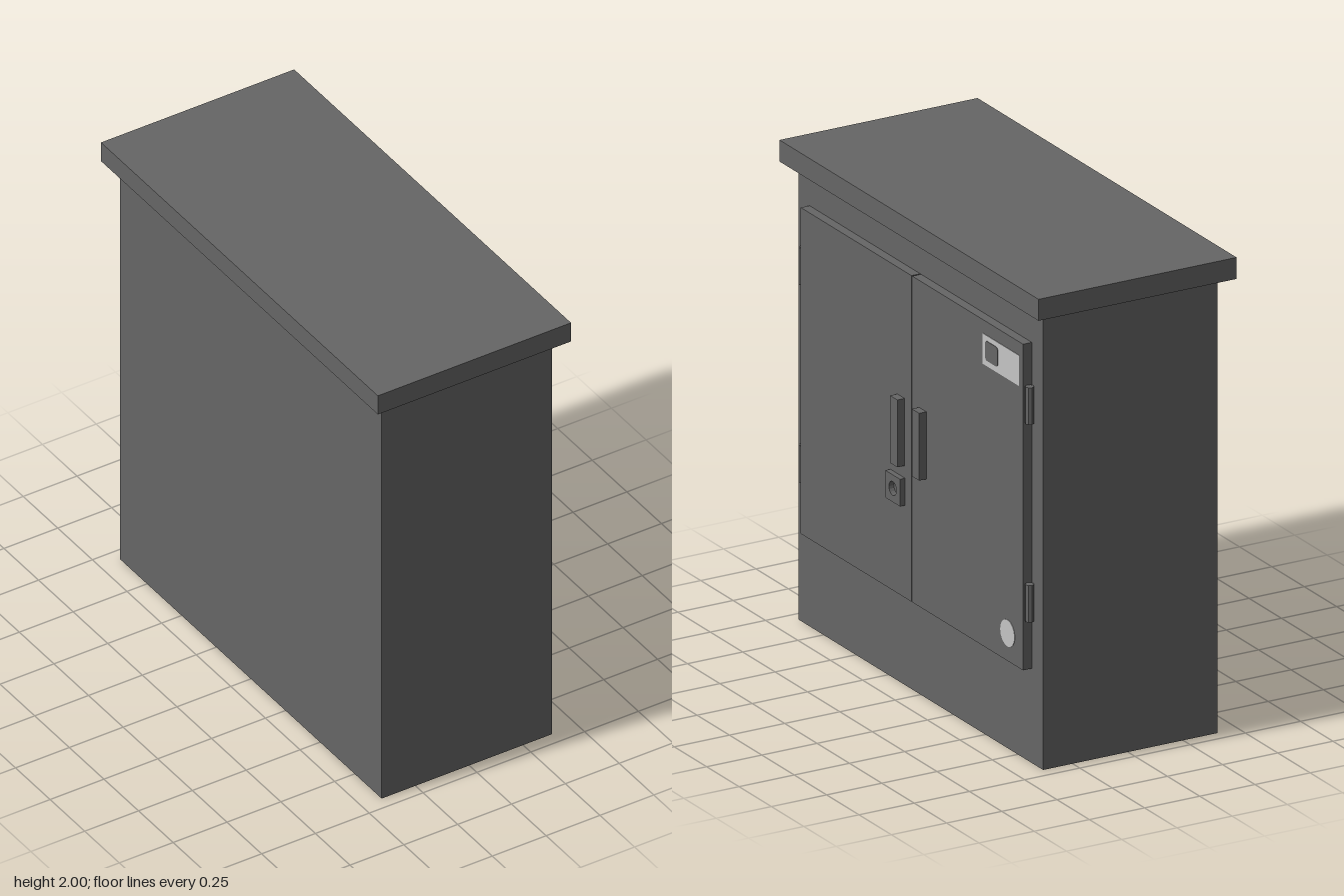
import * as THREE from 'three';

export function createModel() {
  const group = new THREE.Group();
  const grey = new THREE.MeshStandardMaterial({ color: 0x666666 });
  grey.name = 'grey metal';
  const pale = new THREE.MeshStandardMaterial({ color: 0xc4c4c4 });
  pale.name = 'pale label';

  const add = (name, geometry, material = grey) => {
    const mesh = new THREE.Mesh(geometry, material);
    mesh.name = name;
    group.add(mesh);
    return mesh;
  };
  // Box given by its limits on each axis
  const box = (name, [x0, x1], [y0, y1], [z0, z1], material) =>
    add(name, new THREE.BoxGeometry(x1 - x0, y1 - y0, z1 - z0), material)
      .position.set((x0 + x1) / 2, (y0 + y1) / 2, (z0 + z1) / 2);
  // Shape drawn in a plane and pushed out along +x from the door
  const plate = (name, shape, depth, x, y, z, material) => {
    const geometry = new THREE.ExtrudeGeometry(shape, { depth, bevelEnabled: false, curveSegments: 8 });
    const mesh = add(name, geometry, material);
    mesh.rotation.y = Math.PI / 2;
    mesh.position.set(x, y, z);
  };
  const roundedRect = (w, h, r) => {
    const s = new THREE.Shape();
    s.absarc(w / 2 - r, h / 2 - r, r, 0, Math.PI / 2);
    s.absarc(-w / 2 + r, h / 2 - r, r, Math.PI / 2, Math.PI);
    s.absarc(-w / 2 + r, -h / 2 + r, r, Math.PI, Math.PI * 1.5);
    s.absarc(w / 2 - r, -h / 2 + r, r, Math.PI * 1.5, Math.PI * 2);
    return s;
  };

  // Cabinet and overhanging roof
  const wall = 0.384, face = 0.424;
  box('cabinetBody', [-0.407, wall], [0, 1.91], [-0.945, 0.945]);
  box('roof', [-0.46, 0.437], [1.91, 2], [-1, 1]);

  // Mirrored doors with handles and hinges
  for (const side of [1, -1]) {
    const span = (a, b) => [a * side, b * side].sort((p, q) => p - q);
    const label = side > 0 ? 'left' : 'right';
    box(label + 'Door', [wall, face], [0.396, 1.762], span(0.003, 0.858));
    box(label + 'Handle', [face, 0.457], [0.948, 1.23], span(0.056, 0.112));
    for (const y of [0.682, 1.51]) {
      const hinge = new THREE.CylinderGeometry(0.018, 0.018, 0.155, 8).toNonIndexed();
      hinge.computeVertexNormals();
      add(label + 'Hinge', hinge).position.set(0.404, y, 0.875 * side);
    }
  }

  // Lock plate with a round recess
  const lock = new THREE.Shape([[-0.057, -0.057], [0.057, -0.057], [0.057, 0.057], [-0.057, 0.057]]
    .map(([u, v]) => new THREE.Vector2(u, v)));
  lock.holes.push(new THREE.Path().absarc(0, 0, 0.029, 0, Math.PI * 2, true));
  plate('lockPlate', lock, 0.023, face, 0.84, 0.109);

  // Label with its dark symbol, and a round sticker
  box('doorLabel', [face, face + 0.002], [1.578, 1.706], [-0.829, -0.55], pale);
  plate('labelSymbol', roundedRect(0.096, 0.082, 0.014), 0.002, face + 0.002, 1.643, -0.62);
  plate('roundSticker', new THREE.Shape().absarc(0, 0, 0.056, 0, Math.PI * 2), 0.002, face, 0.513, -0.741, pale);

  return group;
}
